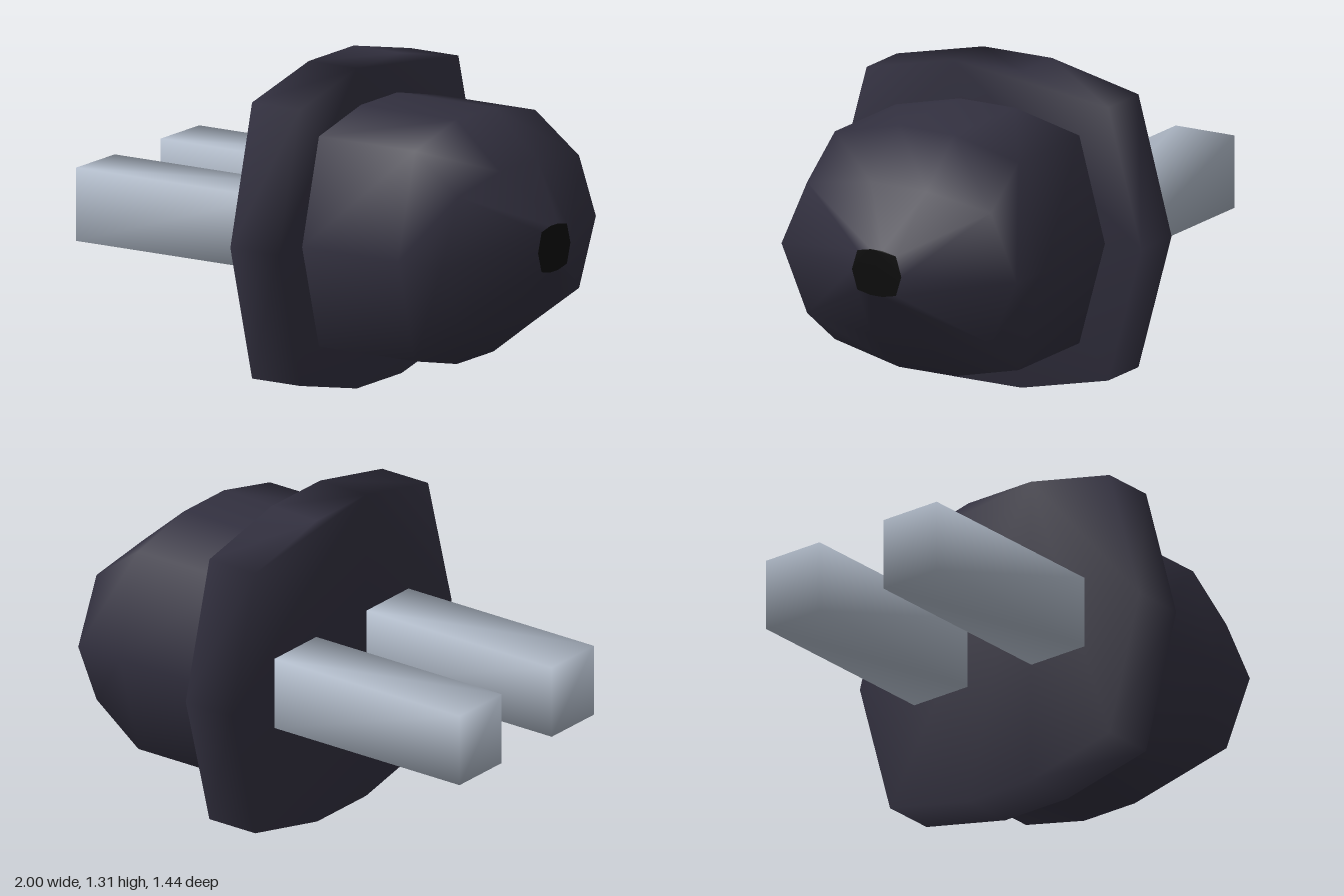
import * as THREE from 'three';
import { mergeVertices } from 'three/addons/utils/BufferGeometryUtils.js';

const CY = 0.655; // height of the plug axis

// Ten-sided rounded outline as [y, z] pairs, running from +y towards +z
function outline(topY, topZ, cornerY, cornerZ, sideZ) {
  const half = [[topY, topZ], [cornerY, cornerZ], [0, sideZ], [-cornerY, cornerZ], [-topY, topZ]];
  return [...half, ...half.map(([y, z]) => [y, -z]).reverse()];
}

// Smooth loft along x; each section is [x, yScale, zScale] applied to the outline
function loft(points, sections, capStart, capEnd) {
  const n = points.length, pos = [], idx = [];
  for (const [x, sy, sz] of sections) for (const [y, z] of points) pos.push(x, y * sy, z * sz);
  for (let s = 0; s < sections.length - 1; s++) {
    for (let j = 0; j < n; j++) {
      const a = s * n + j, b = s * n + (j + 1) % n;
      idx.push(a, b, a + n, b, b + n, a + n);
    }
  }
  const last = (sections.length - 1) * n;
  for (let j = 1; j < n - 1; j++) {
    if (capStart) idx.push(0, j + 1, j);
    if (capEnd) idx.push(last, last + j, last + j + 1);
  }
  const g = new THREE.BufferGeometry();
  g.setAttribute('position', new THREE.Float32BufferAttribute(pos, 3));
  g.setIndex(idx);
  g.computeVertexNormals();
  return g;
}

// Box with shared corners, so its shading is smooth
function softBox(w, h, d) {
  const box = new THREE.BoxGeometry(w, h, d);
  box.deleteAttribute('normal');
  box.deleteAttribute('uv');
  const g = mergeVertices(box);
  g.computeVertexNormals();
  return g;
}

export function createModel() {
  const group = new THREE.Group();
  const material = (name, color) => {
    const m = new THREE.MeshStandardMaterial({ color });
    m.name = name;
    return m;
  };
  const casing = material('dark casing', 0x32303f);
  const metal = material('pale metal', 0xb0bac8);
  const black = material('black', 0x0c0c0c);

  const add = (name, geometry, mat, y = CY, z = 0) => {
    const mesh = new THREE.Mesh(geometry, mat);
    mesh.name = name;
    mesh.position.set(0, y, z);
    group.add(mesh);
    return mesh;
  };

  // Flat flange
  add('flange', loft(outline(0.655, 0.16, 0.565, 0.565, 0.72),
    [[-0.07, 1, 1], [0.16, 1, 1]], true, true), casing);

  // Grip: narrows in height first, then closes to the cord opening
  const grip = outline(0.5, 0.13, 0.43, 0.43, 0.55);
  add('grip', loft(grip,
    [[0.16, 1, 1], [0.62, 1, 1], [0.83, 0.63, 1], [1, 0.19, 0.21]], false, false), casing);

  // Cord opening at the tip
  add('cordOpening', loft(grip, [[0.995, 0.19, 0.205], [1, 0.19, 0.21]], false, true), black);

  // Two prongs
  for (const [name, z] of [['frontProng', 0.3], ['backProng', -0.303]]) {
    add(name, softBox(0.93, 0.3, 0.275), metal, CY, z).position.x = -0.535;
  }
  return group;
}
